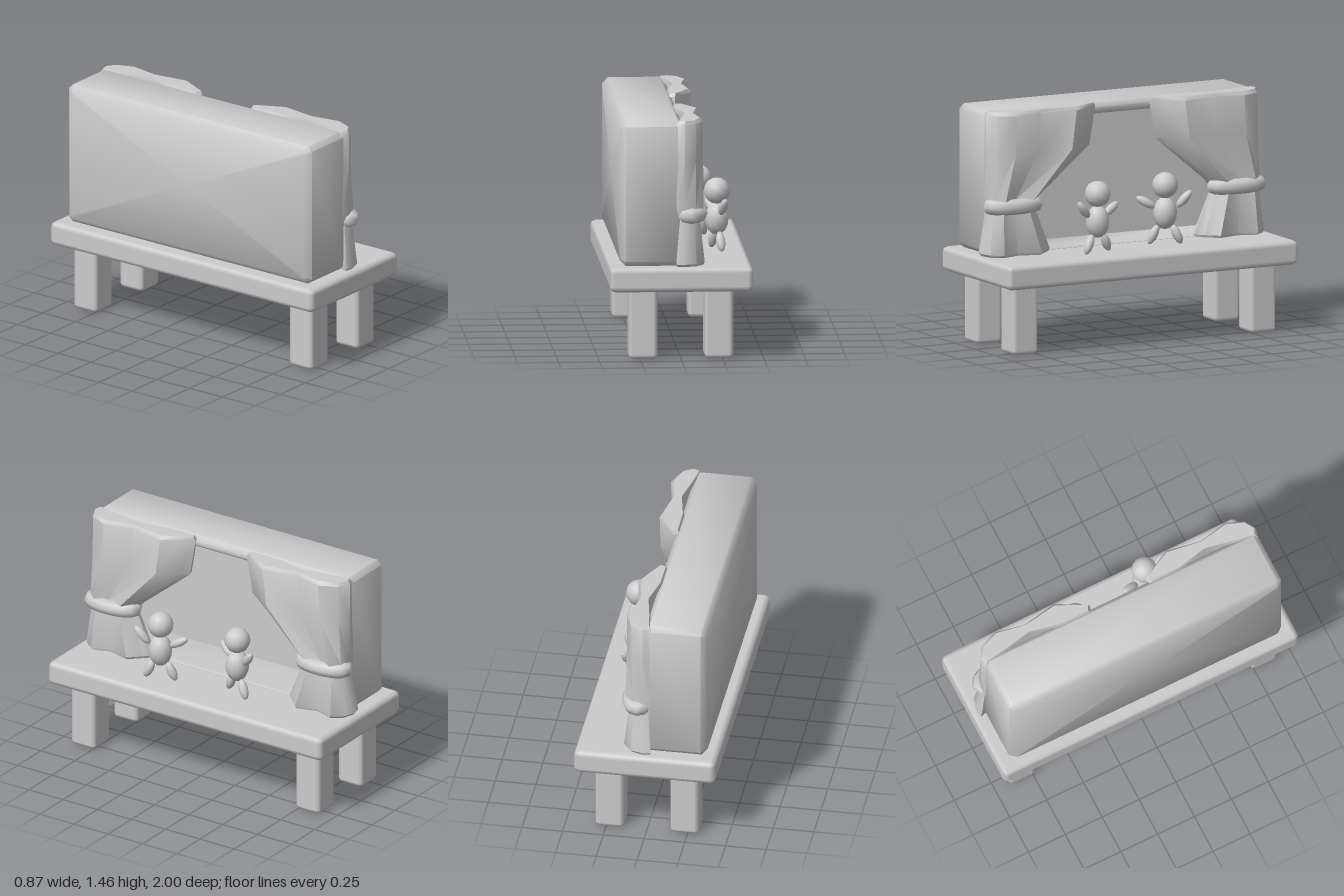
import * as THREE from 'three';
import { toCreasedNormals } from 'three/addons/utils/BufferGeometryUtils.js';
import { RoundedBoxGeometry } from 'three/addons/geometries/RoundedBoxGeometry.js';

const material = new THREE.MeshStandardMaterial({ color: 0xcccccc, roughness: 0.8 });

function addMesh(parent, name, geometry, x = 0, y = 0, z = 0) {
  const mesh = new THREE.Mesh(geometry, material);
  mesh.name = name;
  mesh.position.set(x, y, z);
  parent.add(mesh);
  return mesh;
}

// Skin over closed rings of [x, y, z] points, with a fan cap at each end
function loft(rings, crease) {
  const n = rings[0].length;
  const index = [];
  const points = rings.flat();
  const middle = (ring) => [0, 1, 2].map((k) => ring.reduce((sum, p) => sum + p[k], 0) / n);
  const last = rings.length - 1;
  const start = points.push(middle(rings[0])) - 1;
  const end = points.push(middle(rings[last])) - 1;
  for (let j = 0; j < n; j++) {
    const k = (j + 1) % n;
    for (let i = 0; i < last; i++) {
      const a = i * n + j, b = i * n + k;
      index.push(a, b, b + n, a, b + n, a + n);
    }
    index.push(start, k, j, end, last * n + j, last * n + k);
  }
  const geometry = new THREE.BufferGeometry();
  geometry.setAttribute('position', new THREE.Float32BufferAttribute(points.flat(), 3));
  geometry.setIndex(index);
  return toCreasedNormals(geometry, crease);
}

// Rectangle with cut corners, standing across the x axis
function frameRing(x, halfZ, top, bottom, c) {
  return [
    [top, c - halfZ], [top, halfZ - c], [top - c, halfZ], [bottom + c, halfZ],
    [bottom, halfZ - c], [bottom, c - halfZ], [bottom + c, -halfZ], [top - c, -halfZ],
  ].map(([y, z]) => [x, y, z]);
}

// Stage box: outer shell, rounded front lip, then the recess
function stageBox() {
  return loft([
    frameRing(-0.37, 0.888, 1.418, 0.603, 0.015),
    frameRing(-0.335, 0.923, 1.453, 0.568, 0.03),
    frameRing(-0.02, 0.923, 1.453, 0.568, 0.03),
    frameRing(0.01, 0.895, 1.425, 0.571, 0.01),
    frameRing(0.01, 0.875, 1.4, 0.573, 0.005),
    frameRing(-0.015, 0.85, 1.378, 0.576, 0.005),
    frameRing(-0.31, 0.85, 1.378, 0.576, 0.005),
  ], 0.9);
}

// Wavy curtain section: s runs from the inner edge to the outer edge
const foldFront = [[1, 0.02], [0.95, 0.09], [0.8, 0.14], [0.55, 0.1], [0.25, 0.14], [0.09, 0.07], [0, 0.03]];
const foldBack = [[0.02, -0.01], [0.28, -0.01], [0.55, 0.04], [0.8, -0.005], [0.98, -0.03]];
function curtainRing([y, inner, outer, depth]) {
  return [...foldFront, ...foldBack].map(([s, x]) => [
    0.05 + (x - 0.05) * depth, y, inner + (outer - inner) * s,
  ]);
}

function curtain() {
  const group = new THREE.Group();
  group.name = 'curtain';
  // Flared lower drape and gathered upper drape: [y, inner z, outer z, depth]
  addMesh(group, 'lowerDrape', loft([
    [0.57, 0.51, 0.955, 0.95], [0.585, 0.5, 0.967, 1.05], [0.84, 0.605, 0.93, 0.75], [0.9, 0.62, 0.92, 0.65],
  ].map(curtainRing), 0.7));
  addMesh(group, 'upperDrape', loft([
    [0.86, 0.62, 0.925, 0.9], [0.92, 0.57, 0.932, 0.98], [1.2, 0.228, 0.934, 1],
    [1.435, 0.188, 0.934, 1], [1.457, 0.2, 0.92, 0.8],
  ].map(curtainRing), 0.7));
  // Tie band around the gathered waist
  const loop = [];
  for (let i = 0; i < 12; i++) {
    const a = (i / 12) * Math.PI * 2;
    loop.push(new THREE.Vector3(0.057 + 0.062 * Math.cos(a), 0.875, 0.77 + 0.152 * Math.sin(a)));
  }
  addMesh(group, 'curtainTie', new THREE.TubeGeometry(new THREE.CatmullRomCurve3(loop, true), 24, 0.048, 8, true));
  return group;
}

// Ellipsoid stretched along y, tilted in the zy plane
function limb(parent, name, z, y, radius, half, tilt) {
  const mesh = addMesh(parent, name, new THREE.SphereGeometry(1, 12, 8), 0, y, z);
  mesh.scale.set(radius, half, radius);
  mesh.rotation.x = tilt;
}

// Puppet with one arm raised higher than the other
function puppet(x, z, turn, side) {
  const group = new THREE.Group();
  group.name = 'puppet';
  limb(group, 'head', 0, 0.935, 0.08, 0.08, 0);
  limb(group, 'body', 0, 0.765, 0.073, 0.1, 0);
  limb(group, 'raisedArm', 0.117, 0.85, 0.027, 0.068, 0.72);
  limb(group, 'loweredArm', -0.117, 0.832, 0.027, 0.066, -1.05);
  for (const s of [1, -1]) limb(group, 'leg', s * 0.071, 0.633, 0.028, 0.064, -s * 0.45);
  group.position.set(x, 0, z);
  group.rotation.y = turn;
  group.scale.z = side;
  return group;
}

export function createModel() {
  const model = new THREE.Group();
  model.name = 'puppetTheatre';

  // Table
  addMesh(model, 'tableTop', new RoundedBoxGeometry(0.87, 0.15, 2, 1, 0.033), 0, 0.495, 0);
  for (const x of [-0.23, 0.23]) {
    for (const z of [-0.82, 0.82]) {
      addMesh(model, 'tableLeg', new RoundedBoxGeometry(0.175, 0.46, 0.175, 1, 0.025), x, 0.23, z);
    }
  }

  // Stage with a mirrored pair of curtains
  addMesh(model, 'stageBox', stageBox());
  for (const side of [1, -1]) {
    const drape = curtain();
    drape.scale.z = side;
    model.add(drape);
  }

  // Two puppets
  model.add(puppet(0.253, 0.293, 0.285, 1), puppet(0.175, -0.215, -0.41, -1));
  return model;
}
